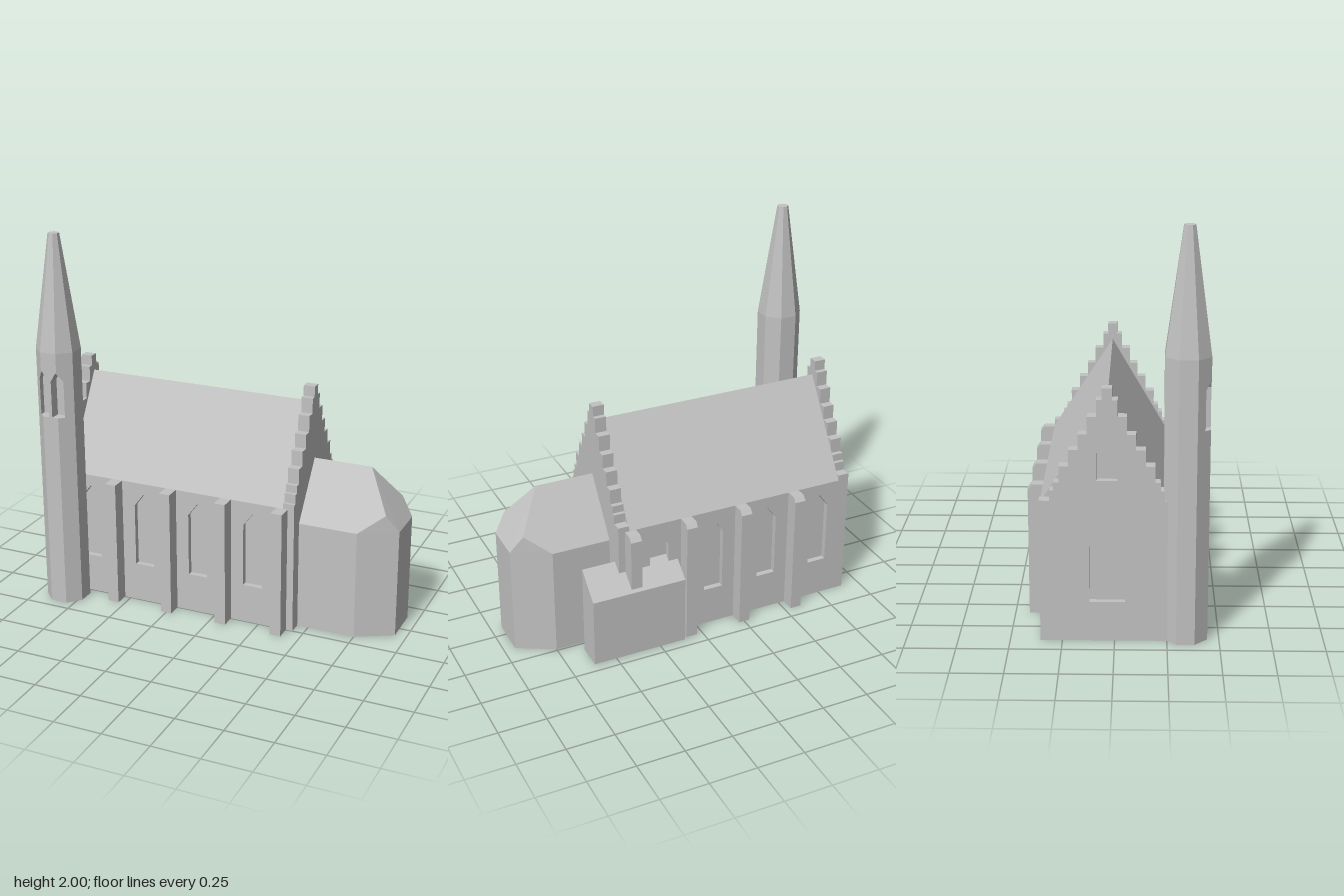
import * as THREE from 'three';
import { ConvexGeometry } from 'three/addons/geometries/ConvexGeometry.js';

const stone = new THREE.MeshStandardMaterial({ color: 0xc2c2c2 });
stone.name = 'grey stone';

const RIDGE_Z = -0.035, NORTH = -0.355, SOUTH = 0.25, EAVE = 0.68;
const WEST = -0.9, EAST = 0.44, GABLE = 0.06, REVEAL = 0.03;

const toShape = (pts) => new THREE.Shape(pts.map(([x, y]) => new THREE.Vector2(x, y)));

// Pointed window outline
const lancet = (c, w, bottom, spring, tip) => [
  [c - w / 2, bottom], [c + w / 2, bottom], [c + w / 2, spring], [c, tip], [c - w / 2, spring],
];

// Extrusion of an (x, y) outline along z
function extrude(pts, depth, holes = []) {
  const shape = toShape(pts);
  shape.holes = holes.map(toShape);
  return new THREE.ExtrudeGeometry(shape, { depth, bevelEnabled: false });
}

// Extrusion of a (z, y) outline from x0 to x1
const prism = (pts, x0, x1, holes) =>
  extrude(pts, x1 - x0, holes).rotateY(-Math.PI / 2).translate(x1, 0, 0);

export function createModel() {
  const model = new THREE.Group();
  model.name = 'church';
  const add = (name, geometry, parent = model) => {
    const mesh = new THREE.Mesh(geometry, stone);
    mesh.name = name;
    parent.add(mesh);
    return mesh;
  };

  // Nave core and roof
  const x0 = WEST + GABLE, x1 = EAST - GABLE;
  add('naveCore', prism([
    [NORTH + REVEAL, 0], [SOUTH - REVEAL, 0], [SOUTH - REVEAL, EAVE], [NORTH + REVEAL, EAVE],
  ], x0, x1));
  add('naveRoof', prism([[NORTH, EAVE], [SOUTH, EAVE], [RIDGE_Z, 1.17]], x0, x1));

  // Side walls with recessed lancet windows
  const bays = [-0.725, -0.41, -0.097, 0.215];
  const windows = bays.map((x) => lancet(x, 0.106, 0.21, 0.55, 0.62));
  const wall = [[x0, 0], [x1, 0], [x1, EAVE], [x0, EAVE]];
  add('southWall', extrude(wall, REVEAL, windows).translate(0, 0, SOUTH - REVEAL));
  add('northWall', extrude(wall, REVEAL, windows).translate(0, 0, NORTH));

  // Crow-stepped gables: [half width, top of step]
  const steps = [[0.024, 1.255], [0.05, 1.2], [0.093, 1.12], [0.135, 1.035], [0.18, 0.96],
    [0.225, 0.88], [0.25, 0.8], [0.27, 0.76]];
  const flank = (side, edge) => {
    const pts = [];
    [...steps, [Math.abs(edge - RIDGE_Z), 0.71]].forEach(([half, y], i, all) => {
      pts.push([RIDGE_Z + side * half, y]);
      pts.push([RIDGE_Z + side * half, i + 1 < all.length ? all[i + 1][1] : 0]);
    });
    return pts;
  };
  const gable = [...flank(1, SOUTH), ...flank(-1, NORTH).reverse()];
  const westOpenings = [
    lancet(RIDGE_Z, 0.17, 0.2, 0.52, 0.63),
    lancet(RIDGE_Z, 0.1, 0.81, 0.96, 1.04),
  ];
  add('westGableFace', prism(gable, WEST, WEST + REVEAL, westOpenings));
  add('westGableBack', prism(gable, WEST + REVEAL, x0));
  add('eastGable', prism(gable, x1, EAST));

  // Buttresses on both sides
  for (const x of [-0.565, -0.25, 0.0625, 0.374]) {
    add('southButtress', prism([
      [SOUTH - 0.02, 0], [0.328, 0], [0.328, EAVE], [SOUTH - 0.02, EAVE],
    ], x - 0.03, x + 0.03));
    add('northButtress', prism([
      [NORTH + 0.02, 0], [-0.43, 0], [-0.43, 0.655], [-0.41, EAVE], [NORTH + 0.02, EAVE],
    ], x - 0.03, x + 0.03));
  }

  // Chancel with a canted east end
  const chancel = [[0.43, 0.865, 0], [0.75, 0.865, 0]];
  for (const s of [-1, 1]) {
    chancel.push(
      [0.43, 0, s * 0.21], [0.43, 0.58, s * 0.21], [0.75, 0, s * 0.21], [0.75, 0.58, s * 0.21],
      [0.877, 0.672, s * 0.14], [0.94, 0, s * 0.107], [0.94, 0.58, s * 0.107],
    );
  }
  add('chancel', new ConvexGeometry(chancel.map((p) => new THREE.Vector3(...p))))
    .position.z = -0.03;

  // Lean-to annex on the north side
  add('annex', prism([[-0.305, 0], [-0.305, 0.49], [-0.445, 0.37], [-0.445, 0]], 0.11, 0.62));

  // Octagonal tower
  const tower = new THREE.Group();
  tower.name = 'tower';
  tower.position.set(-0.835, 0, 0.337);
  model.add(tower);
  const A = 0.107, H = A * Math.tan(Math.PI / 8), K = 1 / Math.cos(Math.PI / 8);
  const octagon = (name, top, bottom, y0, y1) => {
    const g = new THREE.CylinderGeometry(top * K, bottom * K, y1 - y0, 8)
      .rotateY(Math.PI / 8).translate(0, (y0 + y1) / 2, 0).toNonIndexed();
    g.computeVertexNormals();
    add(name, g, tower);
  };
  octagon('towerShaft', A, A, 0, 1.0);
  octagon('towerTop', A, A, 1.31, 1.4);
  octagon('spire', 0.027, A, 1.4, 2.0);

  // Belfry stage: core behind, three front facets cut by a pair of lancets
  const back = 0.05, edge = A + H - back;
  const plan = [[H, -A], [A, -H], [A, H], [edge, back]];
  const core = [...plan, ...plan.map(([x, z]) => [-x, z]).reverse()].map(([x, z]) => [x, -z]);
  add('belfryCore', extrude(core, 0.31).rotateX(-Math.PI / 2).translate(0, 1.0, 0), tower);
  const half = [[H, 1.0], [H, 1.055], [0.01, 1.055], [0.01, 1.25], [0.04, 1.3], [H, 1.293], [H, 1.31]];
  const side = [[H, 1.0], [edge, 1.0], [edge, 1.31], [H, 1.31], [H, 1.293], [0.07, 1.25],
    [0.07, 1.055], [H, 1.055]];
  const mirror = (pts) => pts.map(([x, y]) => [-x, y]).reverse();
  for (const pts of [[...half, ...mirror(half)], side, mirror(side)]) {
    const g = extrude(pts, 1);
    const p = g.attributes.position;
    for (let i = 0; i < p.count; i++) {
      p.setZ(i, p.getZ(i) > 0.5 ? Math.min(A, A + H - Math.abs(p.getX(i))) : back);
    }
    g.computeVertexNormals();
    add('belfryFacet', g, tower);
  }
  return model;
}
